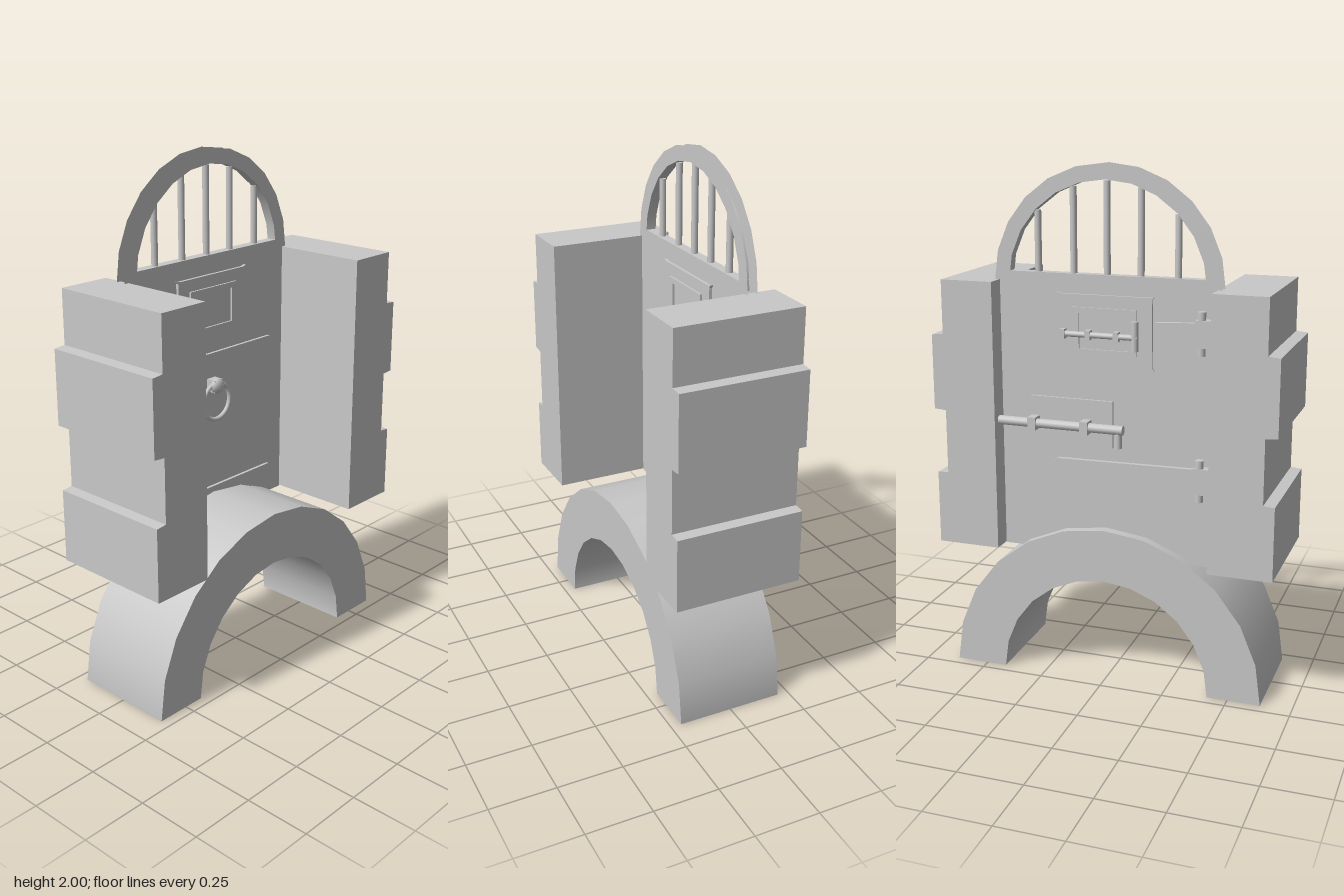
import * as THREE from 'three';

const stone = new THREE.MeshStandardMaterial({ color: 0xc8c8c8, side: THREE.DoubleSide });
stone.name = 'pale grey';

export function createModel() {
  const root = new THREE.Group();
  root.name = 'arched gate';

  const add = (name, geo, x = 0, y = 0, z = 0, parent = root) => {
    const mesh = new THREE.Mesh(geo, stone);
    mesh.name = name;
    mesh.position.set(x, y, z);
    parent.add(mesh);
    return mesh;
  };
  // box from its limits on each axis
  const box = (name, x0, x1, y0, y1, z0, z1) =>
    add(name, new THREE.BoxGeometry(x1 - x0, y1 - y0, z1 - z0), (x0 + x1) / 2, (y0 + y1) / 2, (z0 + z1) / 2);
  // outline of [z, y] points, extruded from x0 to x1
  const slab = (name, points, x0, x1, hole) => {
    const toVec = ([z, y]) => new THREE.Vector2(-z, y);
    const shape = new THREE.Shape(points.map(toVec));
    if (hole) shape.holes.push(new THREE.Path(hole.map(toVec)));
    const geo = new THREE.ExtrudeGeometry(shape, { depth: x1 - x0, bevelEnabled: false });
    return add(name, geo.rotateY(Math.PI / 2), x0);
  };
  const rect = (w, y0, y1) => [[-w, y0], [w, y0], [w, y1], [-w, y1]];
  // cylinder lying along z
  const rodZ = (name, r, x, y, z0, z1) =>
    add(name, new THREE.CylinderGeometry(r, r, z1 - z0, 12).rotateX(Math.PI / 2), x, y, (z0 + z1) / 2);
  const rodY = (name, r, x, y0, y1, z) =>
    add(name, new THREE.CylinderGeometry(r, r, y1 - y0, 12), x, (y0 + y1) / 2, z);
  // half-ring faces and half-cylinder bands, both spanning the z axis
  const halfRing = (name, r0, r1, x, y) =>
    add(name, new THREE.RingGeometry(r0, r1, 12, 1, 0, Math.PI).rotateY(Math.PI / 2), x, y);
  const halfBand = (name, r, x0, x1, y) =>
    add(name, new THREE.CylinderGeometry(r, r, x1 - x0, 12, 1, true, 0, Math.PI).rotateZ(Math.PI / 2), (x0 + x1) / 2, y);

  // hollow base arch, open at the feet
  halfBand('baseArchOuter', 0.628, -0.208, 0.208, 0);
  halfBand('baseArchInner', 0.42, -0.208, 0.208, 0);
  for (const x of [-0.208, 0.208]) halfRing('baseArchSide', 0.42, 0.628, x, 0);

  // stepped pillars
  for (const s of [-1, 1]) {
    const profile = [
      [0.42, 0.522], [0.668, 0.522], [0.668, 0.808], [0.625, 0.812], [0.625, 1.06],
      [0.672, 1.064], [0.672, 1.354], [0.626, 1.358], [0.626, 1.566], [0.42, 1.566],
    ].map(([z, y]) => [s * z, y]);
    slab('pillar', profile, -0.25, 0.25);
  }

  // thin hollow door leaf, open along its outer edges
  const X0 = -0.17, X1 = -0.13;
  for (const x of [X0, X1]) {
    add('doorFace', new THREE.PlaneGeometry(0.84, 1.082).rotateY(Math.PI / 2), x, 1.059, 0);
    halfRing('doorArchFace', 0.382, 0.44, x, 1.56);
  }
  const sill = (name, y, w) =>
    add(name, new THREE.PlaneGeometry(X1 - X0, w).rotateX(-Math.PI / 2), (X0 + X1) / 2, y, 0);
  sill('doorSill', 1.6, 0.76);
  sill('doorBottom', 0.518, 0.84);
  halfBand('doorArchInner', 0.382, X0, X1, 1.56);

  // window bars
  for (const z of [-0.27, -0.13, 0, 0.13, 0.27])
    rodY('windowBar', 0.013, -0.15, 1.6, 1.56 + Math.sqrt(0.382 ** 2 - z * z) - 0.004, z);

  // hatch plates with notched corners, and raised frames on both faces
  const plate = [];
  for (const [a, b] of [[-1, -1], [1, -1], [1, 1], [-1, 1]]) {
    const corner = [[0.19, 0.137], [0.182, 0.125], [0.172, 0.132]].map(([z, y]) => [a * z, 1.395 + b * y]);
    plate.push(...(a * b > 0 ? corner : corner.reverse()));
  }
  // keep the outline running in one direction round the plate
  plate.sort((p, q) => Math.atan2(p[1] - 1.395, p[0]) - Math.atan2(q[1] - 1.395, q[0]));
  for (const [x0, x1, f0, f1] of [[X1, -0.118, -0.118, -0.11], [-0.18, X0, -0.186, -0.18]]) {
    slab('hatchPlate', plate, x0, x1);
    slab('hatchFrame', rect(0.125, 1.308, 1.48), f0, f1, rect(0.1, 1.325, 1.458));
  }

  // cross straps on the front
  box('middleStrap', X1, -0.118, 1.138, 1.214, -0.335, 0.335);
  box('lowerStrap', X1, -0.118, 0.58, 0.652, -0.335, 0.335);

  // ring knocker
  add('knockerRing', new THREE.TorusGeometry(0.074, 0.009, 8, 24).rotateY(Math.PI / 2), -0.1, 1.02, 0);
  box('knockerMount', X1, -0.087, 1.06, 1.11, -0.022, 0.022);
  add('knockerKnob', new THREE.SphereGeometry(0.034, 12, 8).scale(0.6, 0.9, 1), -0.095, 1.085, 0);

  // hinges on the back
  const strapShape = (y, tip, h) => [[0.41, y - h], [0.41, y + h], [tip + 0.05, y + h * 0.8], [tip, y], [tip + 0.05, y - h * 0.8]];
  slab('upperHingeStrap', [[0.41, 1.37], [0.41, 1.45], [0.19, 1.44], [0.19, 1.38]], -0.188, X0);
  slab('lowerHingeStrap', strapShape(0.86, -0.24, 0.042), -0.188, X0);
  for (const y of [1.41, 0.86]) {
    rodY('hingePin', 0.016, -0.19, y - 0.08, y + 0.08, 0.37);
    box('hingeLeaf', -0.206, X0, y - 0.05, y + 0.05, 0.35, 0.42);
  }

  // small hatch bolt
  rodZ('hatchBolt', 0.011, -0.193, 1.38, -0.17, 0.13);
  for (const z of [-0.16, -0.06, 0.05]) box('hatchBoltClip', -0.207, X0, 1.362, 1.398, z - 0.01, z + 0.01);
  rodY('hatchBoltHandle', 0.014, -0.192, 1.33, 1.44, 0.12);

  // large sliding bolt
  slab('boltPlate', [[-0.3, 0.95], [0.03, 0.95], [0.03, 1.13], [-0.3, 1.13]], -0.18, X0);
  rodZ('mainBolt', 0.018, -0.205, 1.03, -0.42, 0.08);
  for (const z of [-0.28, -0.07]) box('mainBoltClip', -0.227, X0, 1.005, 1.055, z - 0.016, z + 0.016);
  rodY('mainBoltHandle', 0.014, -0.203, 0.96, 1.03, 0.06);

  return root;
}
